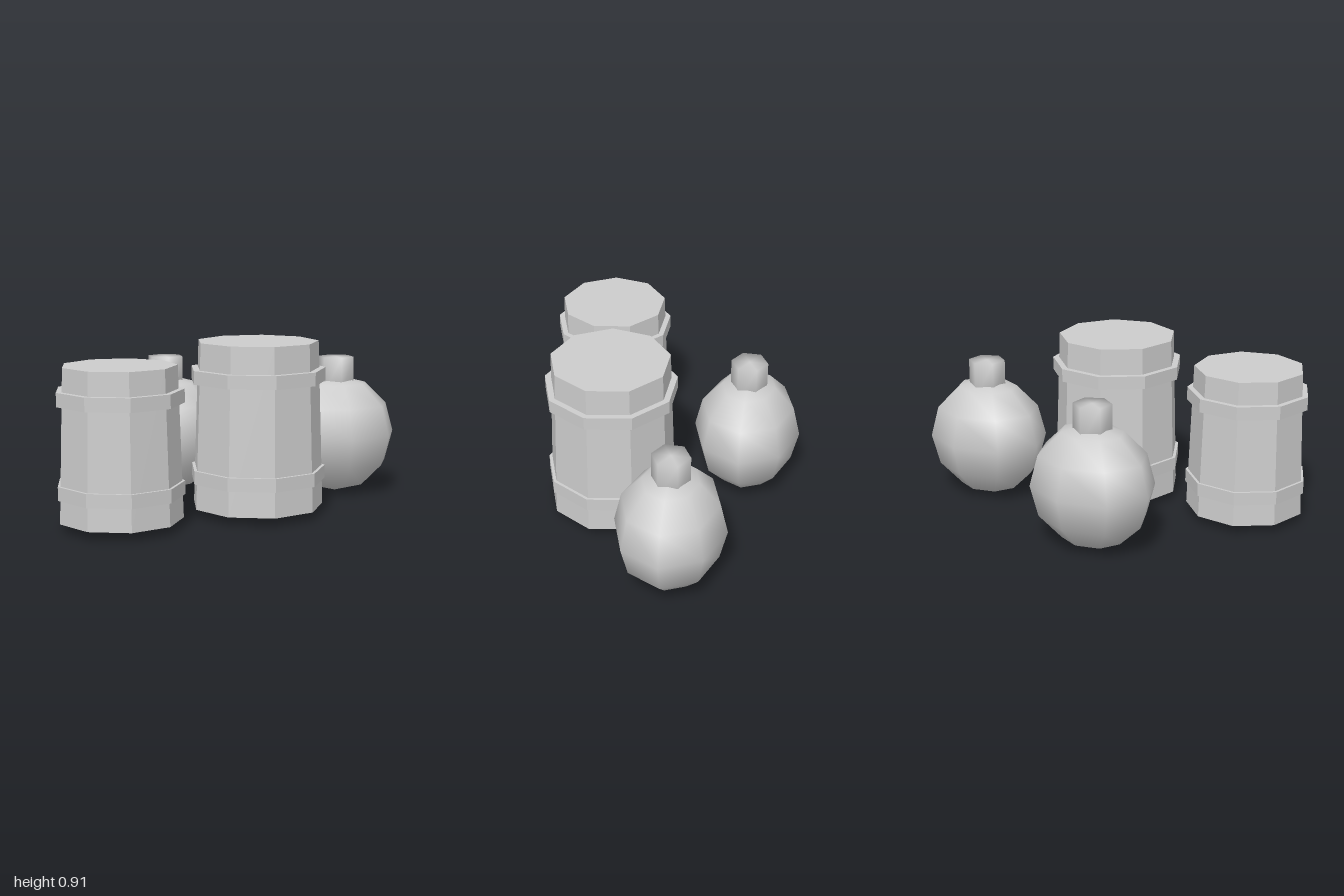
import * as THREE from 'three';
import { mergeVertices } from 'three/addons/utils/BufferGeometryUtils.js';

const grey = new THREE.MeshStandardMaterial({ color: 0xcccccc });
grey.name = 'plain grey';

// Nine-sided faceted cylinder between two heights
function faceted(name, rTop, rBottom, y0, y1) {
  const geo = new THREE.CylinderGeometry(rTop, rBottom, y1 - y0, 9).toNonIndexed();
  geo.computeVertexNormals();
  const mesh = new THREE.Mesh(geo, grey);
  mesh.name = name;
  mesh.position.y = (y0 + y1) / 2;
  return mesh;
}

// Tapered barrel with two hoops
function barrel(name, x, z, { rTop, rBottom, rHoop, top, hoops }) {
  const group = new THREE.Group();
  group.name = name;
  group.position.set(x, 0, z);
  group.add(faceted('barrelBody', rTop, rBottom, 0.045, top));
  hoops.forEach(([y0, y1], i) =>
    group.add(faceted(i ? 'upperHoop' : 'lowerHoop', rHoop, rHoop, y0, y1)));
  return group;
}

// Oval round flask with a short hexagonal neck, smoothly shaded
function flask(name, x, z) {
  const group = new THREE.Group();
  group.name = name;
  group.position.set(x, 0, z);

  const body = new THREE.Mesh(new THREE.SphereGeometry(1, 8, 6), grey);
  body.name = 'flaskBody';
  body.scale.set(0.345, 0.33, 0.292);
  body.position.y = 0.33;

  // Normals are shared across the rim so the neck looks rounded
  let neckGeo = new THREE.CylinderGeometry(0.1, 0.1, 0.2, 6);
  neckGeo.deleteAttribute('normal');
  neckGeo.deleteAttribute('uv');
  neckGeo = mergeVertices(neckGeo);
  neckGeo.computeVertexNormals();
  const neck = new THREE.Mesh(neckGeo, grey);
  neck.name = 'flaskNeck';
  neck.position.y = 0.665;

  group.add(body, neck);
  return group;
}

export function createModel() {
  const model = new THREE.Group();
  model.name = 'barrelsAndFlasks';
  model.add(
    barrel('largeBarrel', 0.0725, 0.252, {
      rTop: 0.32, rBottom: 0.348, rHoop: 0.358, top: 0.91,
      hoops: [[0.18, 0.25], [0.7, 0.77]],
    }),
    barrel('smallBarrel', -0.68, 0.4, {
      rTop: 0.292, rBottom: 0.318, rHoop: 0.326, top: 0.823,
      hoops: [[0.165, 0.235], [0.632, 0.703]],
    }),
    flask('sideFlask', 0.65, -0.178),
    flask('rearFlask', -0.275, -0.438),
  );
  return model;
}
